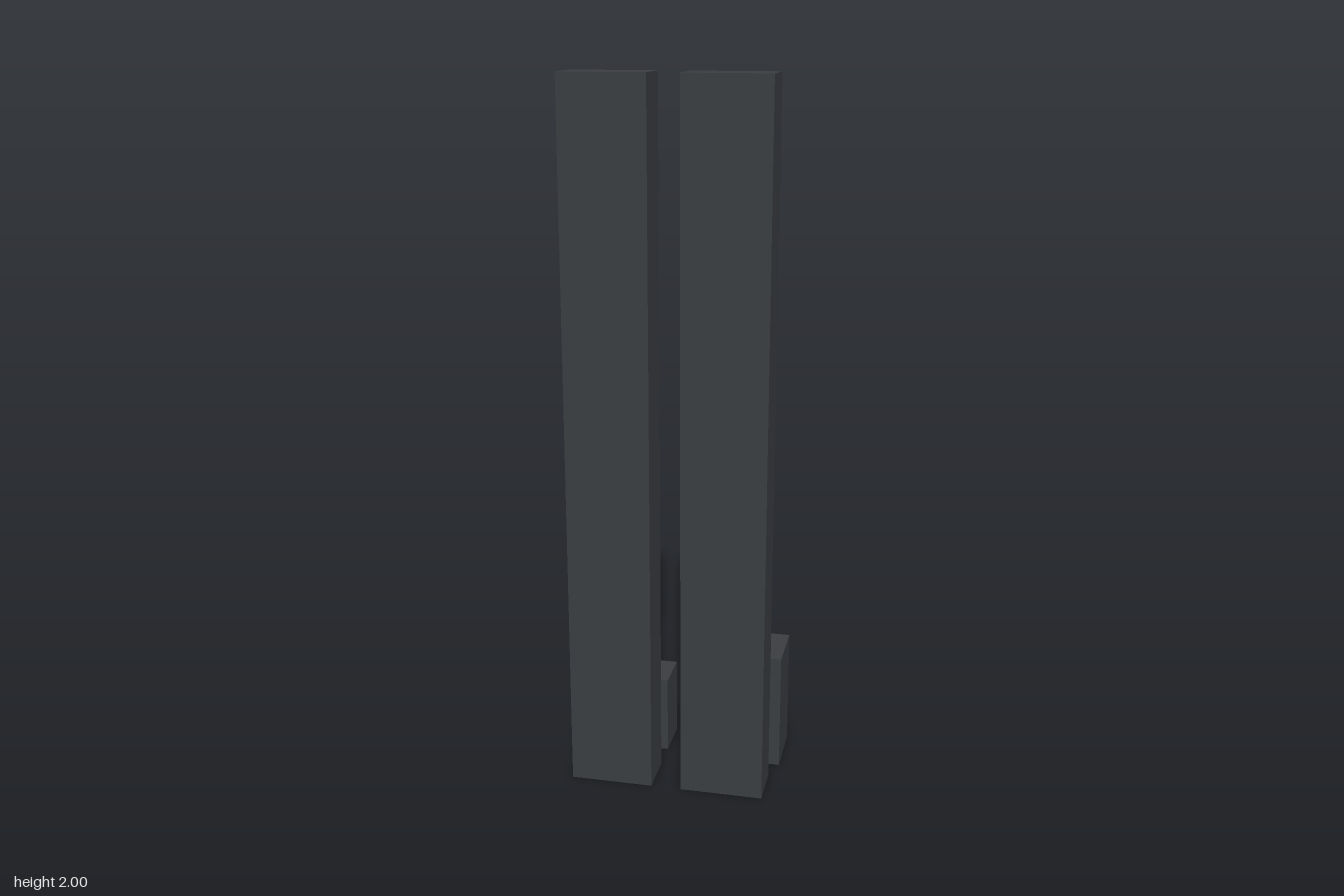
import * as THREE from 'three';

const charcoal = new THREE.MeshStandardMaterial({ color: 0x3a3d41 });
charcoal.name = 'charcoal';

// Box resting at height y0, placed by its centre on the ground plan
function block(name, width, height, depth, x, y0, z) {
  const mesh = new THREE.Mesh(new THREE.BoxGeometry(width, height, depth), charcoal);
  mesh.name = name;
  mesh.position.set(x, y0 + height / 2, z);
  return mesh;
}

// Wide podium with a slimmer shaft standing on it
function steppedTower(name, x, z, podium, shaft) {
  const tower = new THREE.Group();
  tower.name = name;
  tower.position.set(x, 0, z);
  tower.add(
    block('podium', podium.w, podium.h, podium.d, 0, 0, 0),
    block('shaft', shaft.w, shaft.h, shaft.d, 0, podium.h, 0)
  );
  return tower;
}

export function createModel() {
  const model = new THREE.Group();
  model.name = 'towerBlocks';

  // Twin tall slabs at the front
  model.add(block('rightSlab', 0.236, 2, 0.128, -0.172, 0, 0.117));
  model.add(block('leftSlab', 0.236, 2, 0.128, 0.15, 0, 0.117));

  // Stepped towers at the back
  model.add(steppedTower('leftSteppedTower', 0.15, -0.098,
    { w: 0.279, h: 0.345, d: 0.17 }, { w: 0.152, h: 0.8, d: 0.094 }));
  model.add(steppedTower('rightSteppedTower', -0.172, -0.098,
    { w: 0.236, h: 0.23, d: 0.128 }, { w: 0.145, h: 0.2, d: 0.081 }));

  return model;
}
